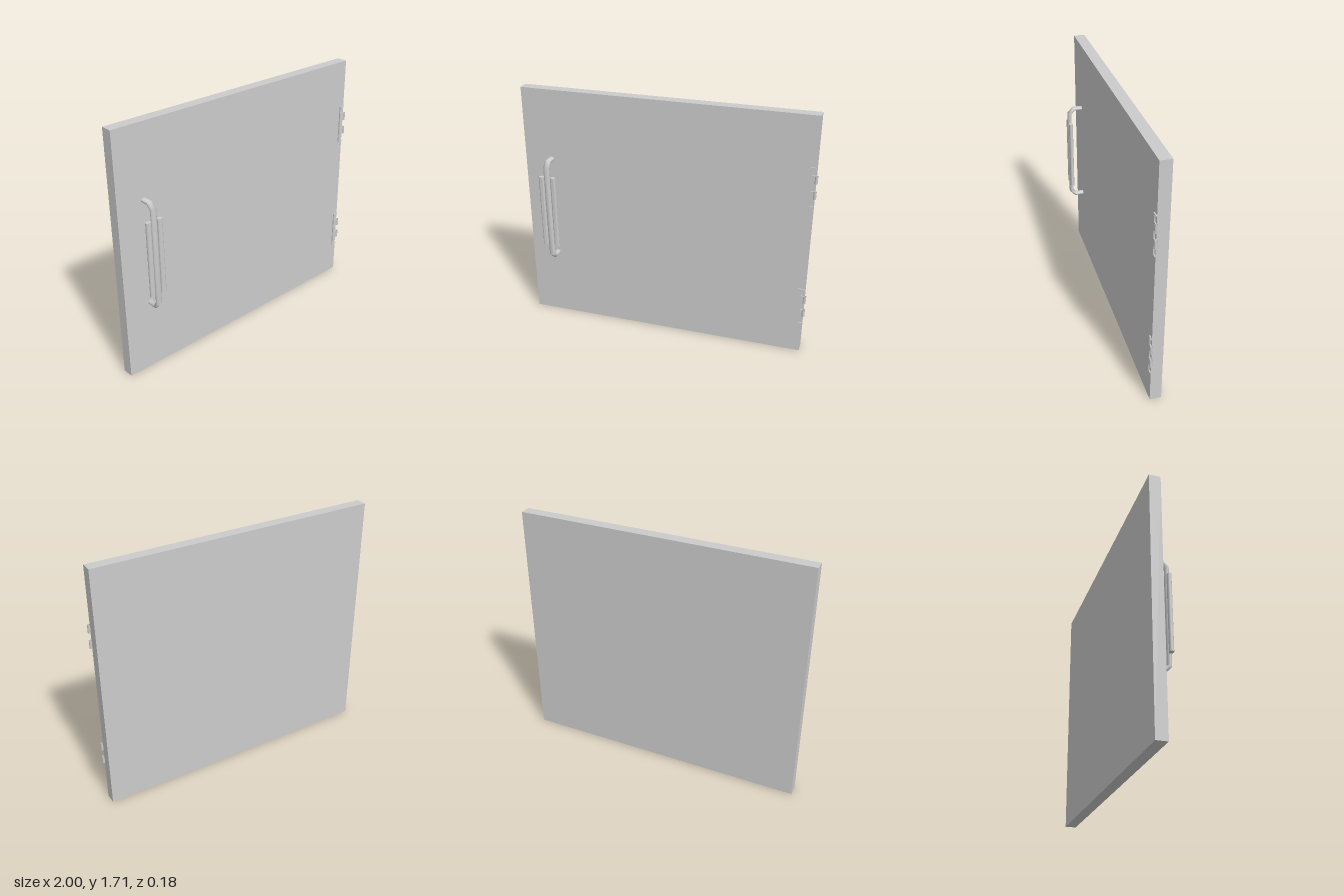
import * as THREE from 'three';
import { toCreasedNormals } from 'three/addons/utils/BufferGeometryUtils.js';

const grey = new THREE.MeshStandardMaterial({ color: 0xcccccc });
const greyOpen = new THREE.MeshStandardMaterial({ color: 0xcccccc, side: THREE.DoubleSide });

function add(parent, name, geometry, x, y, z, material = grey) {
  const mesh = new THREE.Mesh(geometry, material);
  mesh.name = name;
  mesh.position.set(x, y, z);
  parent.add(mesh);
  return mesh;
}

// Sweeps an oval section along a path of [z, y] points with mitred bends
function sweepOval(path, rx, rz, sides = 16) {
  const pts = path.map(([z, y]) => new THREE.Vector2(z, y));
  const positions = [], index = [];
  pts.forEach((p, i) => {
    const before = p.clone().sub(pts[Math.max(i - 1, 0)]).normalize();
    const after = pts[Math.min(i + 1, pts.length - 1)].clone().sub(p).normalize();
    const t = before.clone().add(after).normalize();
    const mitre = rz / t.dot(after.lengthSq() ? after : before);
    for (let j = 0; j < sides; j++) {
      const a = (j / sides) * Math.PI * 2;
      const s = Math.sin(a) * mitre;
      positions.push(Math.cos(a) * rx, p.y + t.x * s, p.x - t.y * s);
      if (i === pts.length - 1) continue;
      const k = (j + 1) % sides, r = i * sides;
      index.push(r + j, r + k, r + sides + j, r + k, r + sides + k, r + sides + j);
    }
  });
  const geometry = new THREE.BufferGeometry();
  geometry.setAttribute('position', new THREE.Float32BufferAttribute(positions, 3));
  geometry.setIndex(index);
  geometry.computeVertexNormals();
  return geometry;
}

// Hinge leaf with notches between its two knuckles
function createHinge(name, y) {
  const hinge = new THREE.Group();
  hinge.name = name;
  hinge.position.y = y;

  const outer = 0.985, inner = 0.962, half = 0.135;
  const leaf = new THREE.Shape();
  leaf.moveTo(0.945, -half);
  leaf.lineTo(outer, -half);
  for (const [from, to] of [[-0.13, -0.078], [-0.025, 0.028], [0.082, 0.13]]) {
    leaf.lineTo(outer, from);
    leaf.lineTo(inner, from);
    leaf.lineTo(inner, to);
    leaf.lineTo(outer, to);
  }
  leaf.lineTo(outer, half);
  leaf.lineTo(0.945, half);
  leaf.closePath();
  add(hinge, 'hingeLeaf', new THREE.ExtrudeGeometry(leaf, { depth: 0.01, bevelEnabled: false }), 0, 0, -0.016);

  for (const ky of [-0.051, 0.055]) {
    add(hinge, 'hingeKnuckle', new THREE.CylinderGeometry(0.01, 0.01, 0.053, 12, 1, true), 0.99, ky, -0.01, greyOpen);
  }
  return hinge;
}

export function createModel() {
  const model = new THREE.Group();
  model.name = 'door';

  // Door panel
  add(model, 'doorPanel', new THREE.BoxGeometry(1.985, 1.71, 0.076), -0.0075, 0.855, -0.052);

  // Pull handle with bent ends running into the panel
  const handle = new THREE.Group();
  handle.name = 'handle';
  const path = [
    [-0.03, 0.495], [0.045, 0.495], [0.077, 0.528],
    [0.077, 1.186], [0.045, 1.22], [-0.03, 1.22],
  ];
  add(handle, 'handleBar', sweepOval(path, 0.021, 0.0145), -0.809, 0, 0);

  // Straight grips on either side of the bar
  for (const x of [-0.851, -0.767]) {
    const grip = new THREE.CylinderGeometry(1, 1, 0.52, 16);
    grip.scale(0.019, 1, 0.0145);
    add(handle, 'handleGrip', toCreasedNormals(grip, 0.9), x, 0.858, 0.077);
  }
  model.add(handle);

  // Hinges on the left edge
  model.add(createHinge('upperHinge', 1.24), createHinge('lowerHinge', 0.364));

  return model;
}
